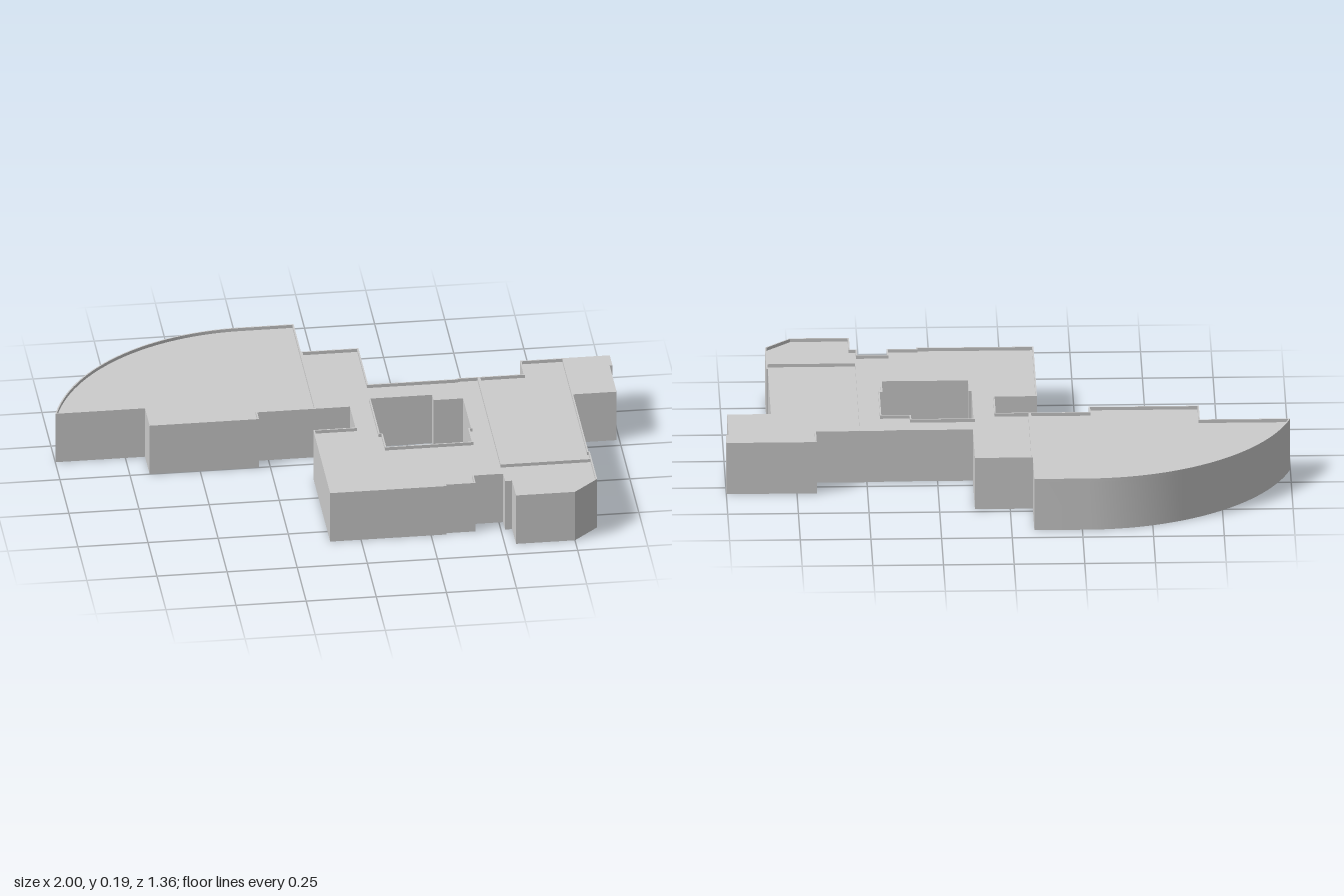
import * as THREE from 'three';
import { toCreasedNormals } from 'three/addons/utils/BufferGeometryUtils.js';

const HEIGHT = 0.195, RECESS = 0.012, RIM = 0.005;

const plan = (pairs) => pairs.map(([x, z]) => new THREE.Vector2(x, z));

// Move every edge of a closed plan inwards (or outwards, if d < 0) with mitred corners
function inset(points, d) {
  const s = Math.sign(THREE.ShapeUtils.area(points)), n = points.length;
  const normal = (a, b) => {
    const e = b.clone().sub(a).normalize();
    return new THREE.Vector2(-e.y * s, e.x * s);
  };
  return points.map((p, i) => {
    const n1 = normal(points[(i + n - 1) % n], p);
    const n2 = normal(p, points[(i + 1) % n]);
    return n1.clone().add(n2).multiplyScalar(d / (1 + n1.dot(n2))).add(p);
  });
}

// Upright prism over an x/z plan
function prism(name, outline, holes, bottom, top, material) {
  const shape = new THREE.Shape(outline);
  shape.holes = holes.map((h) => new THREE.Path(h));
  const geometry = new THREE.ExtrudeGeometry(shape, { depth: top - bottom, bevelEnabled: false });
  geometry.rotateX(Math.PI / 2).translate(0, top, 0);
  const mesh = new THREE.Mesh(toCreasedNormals(geometry, 0.4), material);
  mesh.name = name;
  return mesh;
}

export function createModel() {
  const group = new THREE.Group();
  group.name = 'building';
  const material = new THREE.MeshStandardMaterial({ color: 0xcccccc });

  // Curved wall of the fan-shaped hall
  const arc = [], radius = 0.759, cx = -0.27, cz = 0.079;
  const start = Math.atan2(-0.13 - cz, -1 - cx) + Math.PI * 2;
  for (let i = 0; i <= 28; i++) {
    const a = start + (Math.PI * 1.5 - start) * i / 28;
    arc.push([cx + radius * Math.cos(a), cz + radius * Math.sin(a)]);
  }

  // Stretches of outer wall, clockwise seen from above
  const hallFront = [[-0.29, -0.05], [-0.29, 0], [-0.68, 0], [-0.68, -0.13]];
  const backWall = [[-0.08, -0.475], [0.125, -0.475], [0.125, -0.205], [0.44, -0.205], [0.44, -0.21]];
  const eastBack = [[0.68, -0.21], [0.68, -0.31]];
  const wing = [[1, -0.31], [1, -0.235], [0.99, -0.235], [0.99, -0.04], [0.835, -0.04]];
  const eastStep = [[0.835, 0.385], [0.84, 0.385]];
  const frontWall = [
    [0.84, 0.59], [0.75, 0.675], [0.54, 0.675], [0.54, 0.565], [0.515, 0.565], [0.515, 0.51],
    [0.41, 0.51], [0.41, 0.565], [0.305, 0.565], [0.305, 0.575], [-0.11, 0.575],
    [-0.11, 0.105], [0.04, 0.105], [0.04, -0.05],
  ];
  const outline = plan([...arc, [-0.08, -0.68], ...backWall, ...eastBack, ...wing,
    ...eastStep, ...frontWall, ...hallFront]);
  const courtyard = plan([
    [0.12, -0.1], [0.34, -0.1], [0.34, -0.06], [0.445, -0.06], [0.445, 0.16],
    [0.435, 0.16], [0.435, 0.26], [0.13, 0.26], [0.13, 0.16], [0.12, 0.16],
  ]);

  // Sunken roof fields, divided by thin parapets; the side wing stays flush
  const hallRoof = plan([...arc, [-0.08, -0.68], [-0.08, -0.05], ...hallFront]);
  const mainRoof = plan([...backWall, [0.52, -0.21], [0.52, 0.437], [0.84, 0.437],
    ...frontWall, [-0.08, -0.05]]);
  const eastRoof = plan([[0.52, -0.21], ...eastBack, [0.835, -0.31], ...eastStep,
    [0.84, 0.437], [0.52, 0.437]]);
  const roofs = [hallRoof, mainRoof, eastRoof].map((r) => inset(r, RIM));

  const roofLevel = HEIGHT - RECESS;
  group.add(
    prism('walls', outline, [courtyard], 0, roofLevel, material),
    prism('parapet', outline, roofs, roofLevel, HEIGHT, material),
    prism('courtyardParapet', inset(courtyard, -RIM), [courtyard], roofLevel, HEIGHT, material),
  );
  return group;
}
